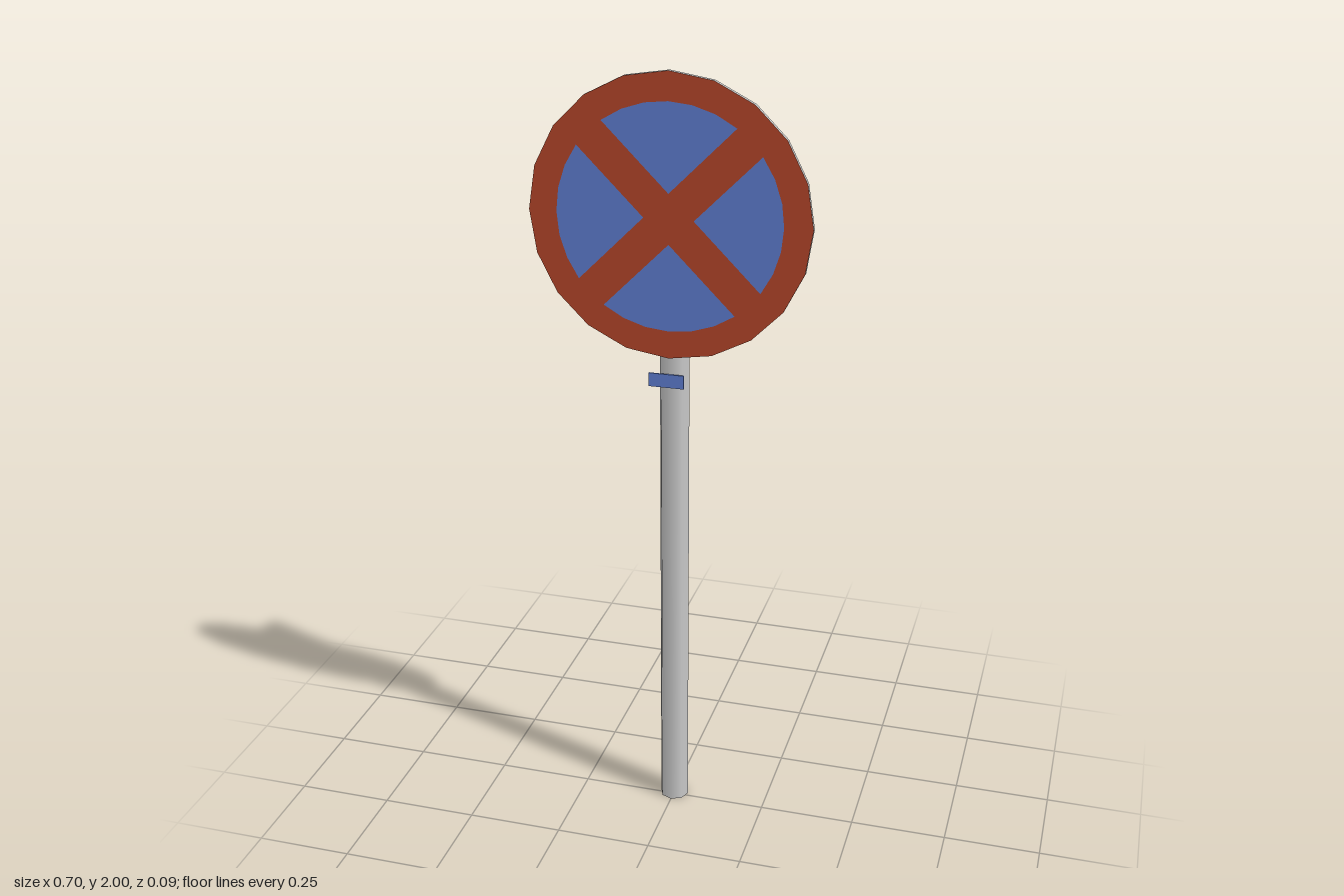
import * as THREE from 'three';

const SIGN_Y = 1.65, SIGN_R = 0.35, FRONT_Z = 0.045, THICK = 0.012;

export function createModel() {
  const model = new THREE.Group();
  model.name = 'roadSign';

  const material = (name, color) => {
    const m = new THREE.MeshStandardMaterial({ color });
    m.name = name;
    return m;
  };
  const grey = material('galvanised grey', 0xc8c8c8);
  const red = material('sign red', 0xb5462a);
  const blue = material('sign blue', 0x5f7dd0);

  const add = (name, geometry, mat, x, y, z) => {
    const mesh = new THREE.Mesh(geometry, mat);
    mesh.name = name;
    mesh.position.set(x, y, z);
    model.add(mesh);
    return mesh;
  };

  // Eight-sided post, standing just behind the disc
  add('post', new THREE.CylinderGeometry(0.038, 0.038, 1.91, 8), grey, 0, 0.955, -0.01);

  // Twenty-sided disc: grey rim and back, red front
  const disc = new THREE.CylinderGeometry(SIGN_R, SIGN_R, THICK, 20).rotateX(Math.PI / 2);
  add('signDisc', disc, [grey, red, grey], 0, SIGN_Y, FRONT_Z - THICK / 2);

  // Four blue fields, leaving the red border and diagonal cross between them
  const innerR = 0.28, apex = 0.062;
  const spread = Math.PI / 4 - Math.asin(apex / Math.SQRT2 / innerR);
  const field = new THREE.Shape();
  field.moveTo(0, apex);
  for (let i = 0; i <= 6; i++) {
    const a = spread * (1 - i / 3);
    field.lineTo(innerR * Math.sin(a), innerR * Math.cos(a));
  }
  field.closePath();
  const fieldGeometry = new THREE.ShapeGeometry(field);
  ['top', 'left', 'bottom', 'right'].forEach((side, i) => {
    const mesh = add(side + 'BlueField', fieldGeometry, blue, 0, SIGN_Y, FRONT_Z + 0.0008);
    mesh.rotation.z = -i * Math.PI / 2;
  });

  // Small plain plate on the post below the disc
  add('postPlate', new THREE.BoxGeometry(0.09, 0.035, 0.004), blue, -0.01, 1.235, 0.031);

  return model;
}
